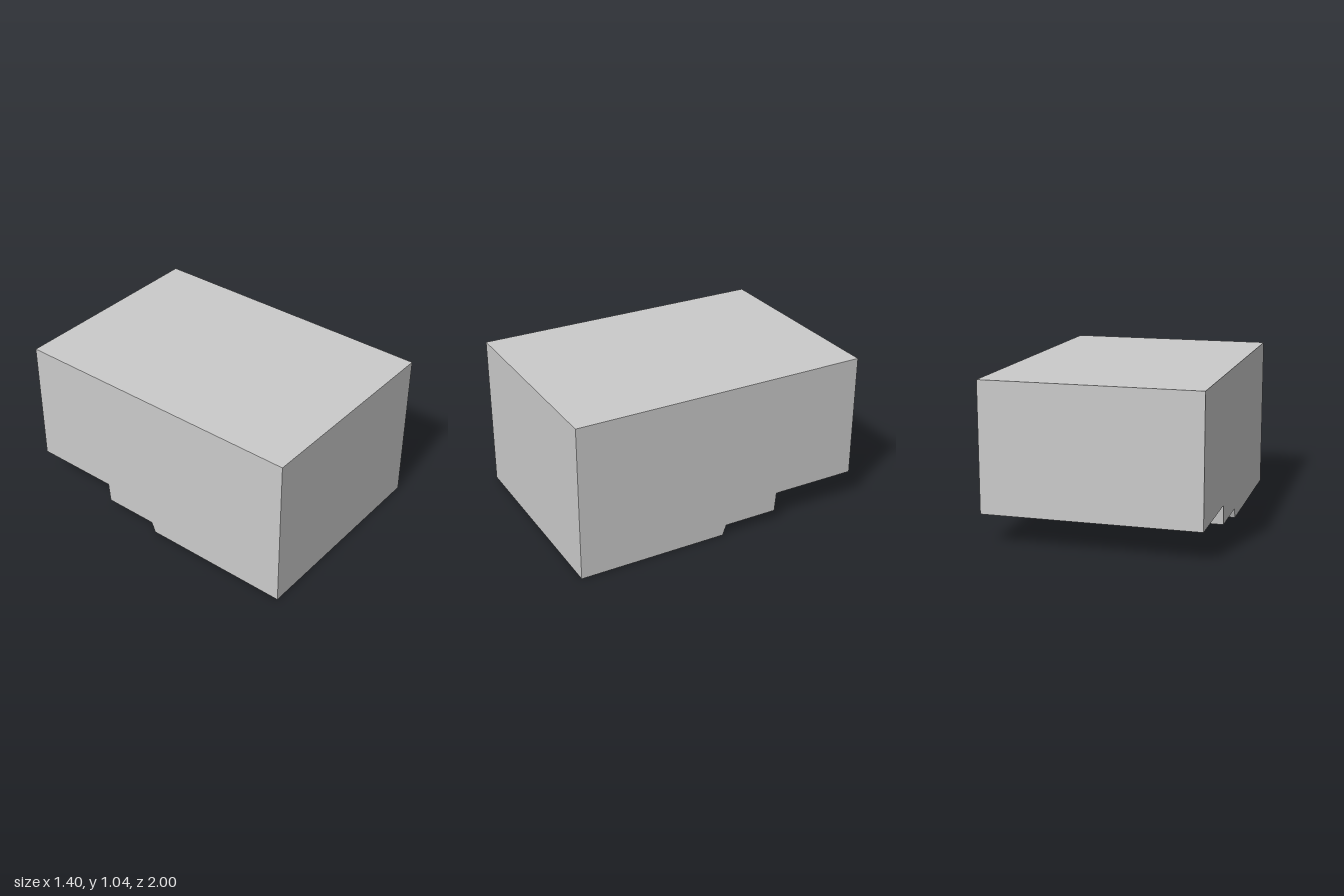
import * as THREE from 'three';

const WIDTH = 1.404;

// Side profile as [z, y], stepped along the underside
const PROFILE = [
  [1, 0], [1, 1.037], [-1, 1.037], [-1, 0.197],
  [-0.415, 0.197], [-0.403, 0.068], [-0.033, 0.068], [-0.007, 0],
];

export function createModel() {
  const group = new THREE.Group();
  group.name = 'steppedBlock';

  // Extrude the profile across the width, then turn it so its length runs along z
  const shape = new THREE.Shape(PROFILE.map(([z, y]) => new THREE.Vector2(z, y)));
  const geometry = new THREE.ExtrudeGeometry(shape, { depth: WIDTH, bevelEnabled: false });
  geometry.translate(0, 0, -WIDTH / 2);
  geometry.rotateY(-Math.PI / 2);

  const body = new THREE.Mesh(
    geometry,
    new THREE.MeshStandardMaterial({ color: 0xcccccc, flatShading: true }),
  );
  body.name = 'body';
  group.add(body);
  return group;
}
